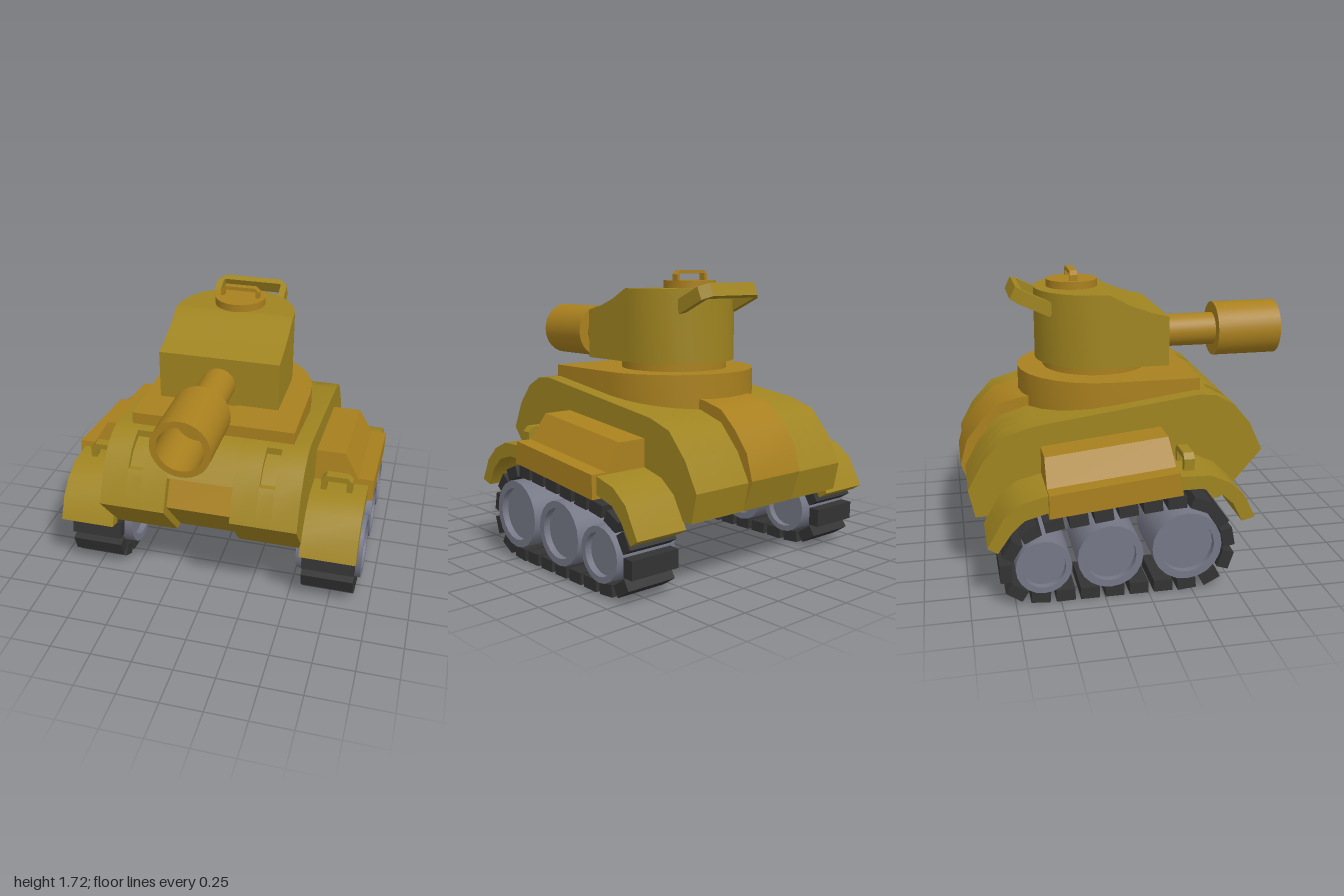
import * as THREE from 'three';
import { toCreasedNormals } from 'three/addons/utils/BufferGeometryUtils.js';

const olive = new THREE.MeshStandardMaterial({ color: 0x9f8420 });
const ochre = new THREE.MeshStandardMaterial({ color: 0xa9801e });
const steel = new THREE.MeshStandardMaterial({ color: 0x757786 });
const rubber = new THREE.MeshStandardMaterial({ color: 0x333333 });

const toShape = pts => new THREE.Shape(pts.map(p => new THREE.Vector2(...p)));
const extrude = (pts, depth) =>
  new THREE.ExtrudeGeometry(toShape(pts), { depth, bevelEnabled: false });
const crease = geo => toCreasedNormals(geo, 0.6);

// Side profile of [z, y] points, extruded across x0..x1
const slab = (x0, x1, pts) =>
  crease(extrude(pts, x1 - x0).rotateY(-Math.PI / 2).translate(x1, 0, 0));

// Square front and round back, seen from above
function dBlock(halfW, zFront, zArc, y0, y1) {
  const pts = [[halfW, -zFront], [halfW, -zArc]];
  for (let i = 1; i < 14; i++) {
    const a = i / 14 * Math.PI;
    pts.push([halfW * Math.cos(a), -zArc + halfW * Math.sin(a)]);
  }
  pts.push([-halfW, -zArc], [-halfW, -zFront]);
  return crease(extrude(pts, y1 - y0).rotateX(-Math.PI / 2).translate(0, y0, 0));
}

// Bent bar handle with chamfered corners
const handle = (w, h, t, c, depth) => extrude([
  [-w, 0], [-w, h - c], [-w + c, h], [w - c, h], [w, h - c], [w, 0],
  [w - t, 0], [w - t, h - c], [w - c, h - t], [-w + c, h - t], [-w + t, h - c], [-w + t, 0],
], depth);

// Turned part from [radius, along] points
const turned = (pts, sides) =>
  crease(new THREE.LatheGeometry(pts.map(p => new THREE.Vector2(...p)), sides));

export function createModel() {
  const model = new THREE.Group();
  const add = (name, geo, mat, parent = model) => {
    const mesh = new THREE.Mesh(geo, mat);
    mesh.name = name;
    parent.add(mesh);
    return mesh;
  };

  // Hull: strips across the width, so that notch and slots are real recesses
  const nose = [[0.5, 0.41], [0.75, 0.7]];
  const brow = [[0.57, 0.99], [0.46, 1.05], [0.36, 1.06]];
  const tail = [[-0.6, 0.93], [-0.76, 0.88], [-0.89, 0.735], [-0.975, 0.575], [-0.94, 0.41]];
  const full = [...nose, [0.67, 0.87], ...brow, ...tail];
  const slotted = [...nose, [0.67, 0.87], [0.645, 0.9], [0.61, 0.9], [0.55, 0.965],
    [0.45, 1.01], [0.45, 1.051], [0.36, 1.06], ...tail];
  const middle = [[0.44, 0.41], [0.69, 0.7], [0.61, 0.86], [0.66, 0.885], ...brow,
    [-0.5, 0.943], [-0.5, 0.99], [-0.62, 0.985], [-0.755, 0.95], [-0.865, 0.85],
    [-0.955, 0.735], [-1, 0.585], [-0.94, 0.41]];
  const hull = new THREE.Group();
  hull.name = 'hull';
  model.add(hull);
  add('hullMiddle', slab(-0.195, 0.195, middle), olive, hull);
  for (const [a, b, pts] of [[0.195, 0.345, full], [0.345, 0.435, slotted], [0.435, 0.585, full]]) {
    add('hullStrip', slab(a, b, pts), olive, hull);
    add('hullStrip', slab(-b, -a, pts), olive, hull);
  }
  // Ochre facings on the front notch and the rear ridge
  add('frontPlate', slab(-0.194, 0.194, [[0.6, 0.7], [0.692, 0.702], [0.613, 0.86], [0.56, 0.86]]), ochre, hull);
  add('rearRidge', slab(-0.196, 0.196, [[-0.5, 0.993], [-0.62, 0.988], [-0.757, 0.953],
    [-0.867, 0.853], [-0.957, 0.737], [-1, 0.587], [-0.94, 0.412], [-0.9, 0.412], [-0.9, 0.6],
    [-0.78, 0.8], [-0.5, 0.9]]), ochre, hull);

  // Turret
  add('turretBase', dBlock(0.49, 0.39, -0.135, 0.92, 1.13), ochre);
  add('turretRing', crease(new THREE.CylinderGeometry(0.32, 0.32, 0.07, 28)), ochre)
    .position.set(0, 1.155, -0.15);
  add('turretFront', slab(-0.36, 0.36, [[-0.155, 1.18], [0.235, 1.18], [0.235, 1.47],
    [0.12, 1.5], [0, 1.545], [-0.12, 1.61], [-0.155, 1.61]]), olive);
  add('turretBack', dBlock(0.36, -0.15, -0.157, 1.18, 1.61), olive);
  add('hatch', crease(new THREE.CylinderGeometry(0.155, 0.155, 0.06, 20)), ochre)
    .position.set(0, 1.625, -0.285);
  add('hatchHandle', handle(0.12, 0.07, 0.022, 0.025, 0.044), ochre)
    .position.set(0, 1.645, -0.31);
  const rack = add('rearRack', handle(0.228, 0.25, 0.04, 0.05, 0.08), olive);
  rack.rotation.x = -65 * Math.PI / 180;
  rack.position.set(0, 1.468, -0.445);

  // Gun, with an open bore in the muzzle
  const gun = turned([[0, 0.15], [0.1, 0.15], [0.1, 0.6], [0.168, 0.6], [0.168, 1],
    [0.13, 1], [0.13, 0.68], [0, 0.68]], 32);
  add('gunBarrel', gun.rotateX(Math.PI / 2).translate(0, 1.307, 0), ochre);

  // Running gear
  const fender = [[0.605, 0.425], [0.54, 0.56], [0.45, 0.645], [0.34, 0.695], [0.18, 0.7],
    [-0.56, 0.65], [-0.7, 0.615], [-0.8, 0.54], [-0.895, 0.37], [-0.84, 0.335],
    [-0.76, 0.45], [-0.69, 0.515], [-0.56, 0.55], [0.18, 0.62], [0.29, 0.62],
    [0.4, 0.585], [0.475, 0.515], [0.53, 0.405]];
  const trackPath = new THREE.CatmullRomCurve3([
    [0.22, 0.037], [0.1, 0.037], [-0.45, 0.037], [-0.56, 0.037], [-0.69, 0.055], [-0.775, 0.11],
    [-0.8, 0.2], [-0.775, 0.31], [-0.7, 0.4], [-0.56, 0.46], [-0.4, 0.48], [0.1, 0.535],
    [0.22, 0.535], [0.34, 0.49], [0.42, 0.4], [0.46, 0.26], [0.43, 0.13], [0.34, 0.06],
  ].map(([z, y]) => new THREE.Vector3(0, y, z)), true);
  const linkGeo = new THREE.BoxGeometry(0.32, 0.068, 0.107);
  const links = 22;

  for (const s of [1, -1]) {
    const side = new THREE.Group();
    side.name = s > 0 ? 'leftSide' : 'rightSide';
    model.add(side);

    add('fender', slab(0, 0.335, fender), olive, side).position.x = s * 0.7475 - 0.1675;
    add('fenderHook', handle(0.095, 0.11, 0.035, 0.03, 0.06), olive, side)
      .position.set(s * 0.735, 0.685, 0.21);

    // Stowage box: sheared to slope down to the back, front end leaning
    const box = extrude([[0.55, 0.6], [0.945, 0.6], [0.945, 0.735], [0.85, 0.735],
      [0.76, 0.885], [0.55, 0.885]].map(([x, y]) => [s * x, y]), 0.74);
    const p = box.attributes.position;
    for (let i = 0; i < p.count; i++) {
      const y = p.getY(i);
      const z = p.getZ(i) > 0.1 ? 0.18 - (y - 0.6) * 0.16 : -0.56;
      p.setXYZ(i, p.getX(i), y + (z - 0.16) * 0.104, z);
    }
    box.computeVertexNormals();
    add('stowageBox', box, ochre, side);

    // Wheels, dished on both faces
    for (const [z, y, r] of [[0.21, 0.285, 0.2], [-0.225, 0.265, 0.185], [-0.595, 0.235, 0.155]]) {
      const q = r * 0.78;
      const wheel = turned([[0, -0.16], [q, -0.16], [q, -0.2], [r, -0.2],
        [r, 0.2], [q, 0.2], [q, 0.16], [0, 0.16]], 20);
      add('wheel', wheel.rotateZ(-Math.PI / 2), steel, side).position.set(s * 0.73, y, z);
    }

    // Track links spaced evenly round the loop
    for (let i = 0; i < links; i++) {
      const at = trackPath.getPointAt(i / links);
      const dir = trackPath.getTangentAt(i / links);
      const link = add('trackLink', linkGeo, rubber, side);
      link.position.set(s * 0.74, at.y, at.z);
      link.rotation.x = -Math.atan2(dir.y, dir.z);
    }
  }
  return model;
}
